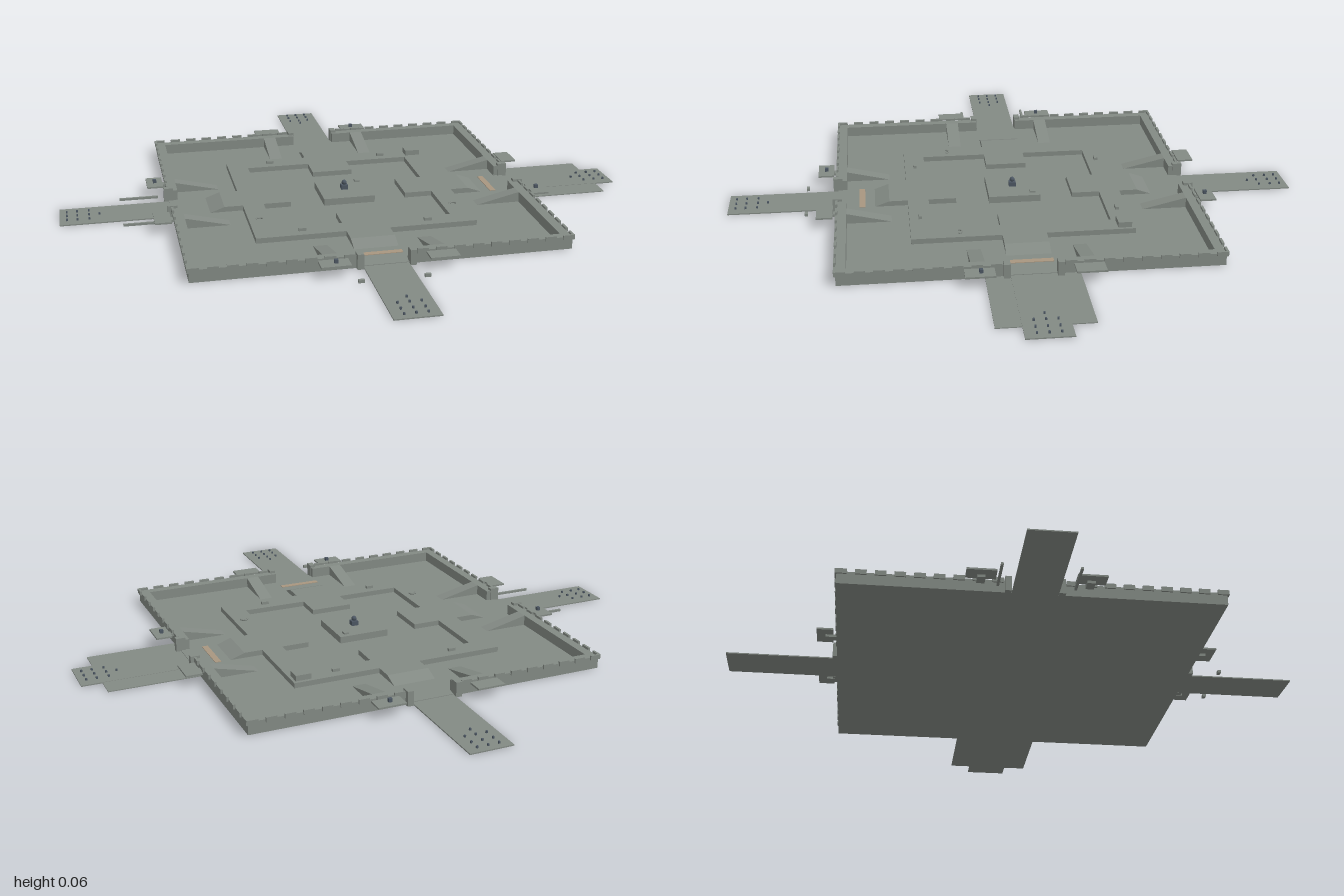
import * as THREE from 'three';

const concrete = new THREE.MeshStandardMaterial({ color: 0x838a84 });
concrete.name = 'grey concrete';
const sand = new THREE.MeshStandardMaterial({ color: 0xa8967f });
sand.name = 'sand stripe';
const slate = new THREE.MeshStandardMaterial({ color: 0x4c5662 });
slate.name = 'slate metal';

// Box given by its limits on each axis
function box(parent, name, x0, x1, y0, y1, z0, z1, mat = concrete) {
  const geo = new THREE.BoxGeometry(x1 - x0, y1 - y0, z1 - z0);
  geo.translate((x0 + x1) / 2, (y0 + y1) / 2, (z0 + z1) / 2);
  const mesh = new THREE.Mesh(geo, mat);
  mesh.name = name;
  parent.add(mesh);
  return mesh;
}

// Ramp along z: height h0 at z0 and h1 at z1
function ramp(parent, name, x0, x1, yBase, z0, z1, h0, h1) {
  const mesh = box(parent, name, x0, x1, yBase, yBase + 0.01, z0, z1);
  const p = mesh.geometry.attributes.position;
  for (let i = 0; i < p.count; i++) {
    if (p.getY(i) > yBase + 0.005) p.setY(i, p.getZ(i) > (z0 + z1) / 2 ? h1 : h0);
  }
  mesh.geometry = mesh.geometry.toNonIndexed();
  mesh.geometry.computeVertexNormals();
}

const FLOOR = 0.006, RING = 0.024, WALL = 0.042;

export function createModel() {
  const model = new THREE.Group();
  model.name = 'fortified courtyard';

  // Ground slab and side apron
  box(model, 'courtyardFloor', -0.62, 0.62, 0, FLOOR, -0.62, 0.62);
  box(model, 'sideApron', 0.62, 0.93, 0, 0.003, -0.15, 0.155);

  // Raised square walkway
  const shape = new THREE.Shape();
  const square = (path, r) => path.moveTo(-r, -r).lineTo(r, -r).lineTo(r, r).lineTo(-r, r).closePath();
  square(shape, 0.376);
  const hole = new THREE.Path();
  square(hole, 0.303);
  shape.holes.push(hole);
  const ringGeo = new THREE.ExtrudeGeometry(shape, { depth: RING - FLOOR, bevelEnabled: false });
  ringGeo.rotateX(-Math.PI / 2).translate(0, FLOOR, 0);
  const ring = new THREE.Mesh(ringGeo, concrete);
  ring.name = 'raisedWalkway';
  model.add(ring);

  // Four sides, each built facing +z
  for (let k = 0; k < 4; k++) {
    const side = new THREE.Group();
    side.name = ['frontSide', 'leftSide', 'backSide', 'rightSide'][k];
    side.rotation.y = k * Math.PI / 2;
    model.add(side);

    // Outer wall, gate posts and parapet blocks
    box(side, 'wall', 0.078, 0.62, FLOOR, WALL, 0.588, 0.62);
    box(side, 'wall', -0.588, -0.078, FLOOR, WALL, 0.588, 0.62);
    for (let i = 0; i < 9; i++) {
      const x = 0.1 + i * 0.061;
      for (const s of [-1, 1]) {
        const c = s * (x + 0.018);
        box(side, 'parapetBlock', c - 0.018, c + 0.018, WALL - 0.008, 0.05, 0.618, 0.626);
      }
    }

    for (const s of [-1, 1]) {
      const span = (a, b) => (s > 0 ? [a, b] : [-b, -a]);
      box(side, 'gatePost', ...span(0.075, 0.096), 0, 0.051, 0.603, 0.636);
      // Ramp from the courtyard to the wall top
      ramp(side, 'wallRamp', ...span(0.152, 0.198), FLOOR, 0.435, 0.588, FLOOR, WALL);
      // Overhanging lookout plate
      box(side, 'lookoutPlate', ...span(0.126, 0.222), 0.037, 0.043, 0.634, 0.69);
      box(side, 'lookoutBracket', ...span(0.16, 0.186), 0.028, 0.037, 0.62, 0.66);
      // Small block on the walkway
      if (k % 2 === 0) box(side, 'walkwayBlock', ...span(0.202, 0.228), RING, RING + 0.01, 0.333, 0.345);
    }
    box(side, 'lookoutPost', -0.176, -0.164, 0.043, 0.055, 0.655, 0.667, slate);

    // Road with rows of stakes
    box(side, 'road', -0.074, 0.074, 0, 0.004, 0.62, 1);
    for (const z of [0.9, 0.94, 0.975]) {
      for (const x of [-0.037, 0, 0.037]) {
        box(side, 'stake', x - 0.003, x + 0.003, 0.004, 0.011, z - 0.003, z + 0.003, slate);
      }
    }
    box(side, 'stake', -0.003, 0.003, 0.004, 0.011, 0.862, 0.868, slate);

    // Approach ramp up to the walkway and landing inside it
    ramp(side, 'approachRamp', -0.074, 0.074, FLOOR, 0.44, 0.49, RING, FLOOR);
    box(side, 'approachLanding', -0.074, 0.074, FLOOR, RING, 0.376, 0.44);
    box(side, 'innerLanding', -0.074, 0.074, FLOOR, RING, 0.206, 0.303);

    // Painted gate stripe on two sides
    if (k < 2) box(side, 'gateStripe', -0.075, 0.075, FLOOR, FLOOR + 0.002, 0.524, 0.545, sand);
  }

  // Central pad with its pedestal
  box(model, 'centralPad', -0.091, 0.091, FLOOR, 0.03, -0.091, 0.091);
  box(model, 'pedestal', -0.012, 0.012, 0.03, 0.046, -0.012, 0.012, slate);
  const knob = new THREE.Mesh(new THREE.SphereGeometry(0.009, 12, 8), slate);
  knob.name = 'pedestalKnob';
  knob.position.y = 0.054;
  model.add(knob);
  box(model, 'padBlock', 0.052, 0.07, 0.03, 0.036, -0.075, -0.055);

  // Corner booth on the walkway
  box(model, 'cornerBooth', 0.312, 0.366, RING, 0.043, -0.364, -0.318);

  // Curved barriers on the walkway
  for (const s of [-1, 1]) {
    const arc = new THREE.Mesh(new THREE.TorusGeometry(0.013, 0.003, 6, 10, Math.PI), concrete);
    arc.name = 'curvedBarrier';
    arc.rotation.x = Math.PI / 2;
    arc.rotation.z = Math.PI;
    arc.position.set(s * 0.34, RING + 0.003, 0.219);
    model.add(arc);
    // Loose blocks by the front road and rails by the right road
    box(model, 'roadBlock', s * 0.105 - 0.01, s * 0.105 + 0.01, 0, 0.01, 0.722, 0.733);
    box(model, 'sideRail', -0.79, -0.655, 0.002, 0.01, s * 0.122 - 0.004, s * 0.122 + 0.004);
  }
  return model;
}
